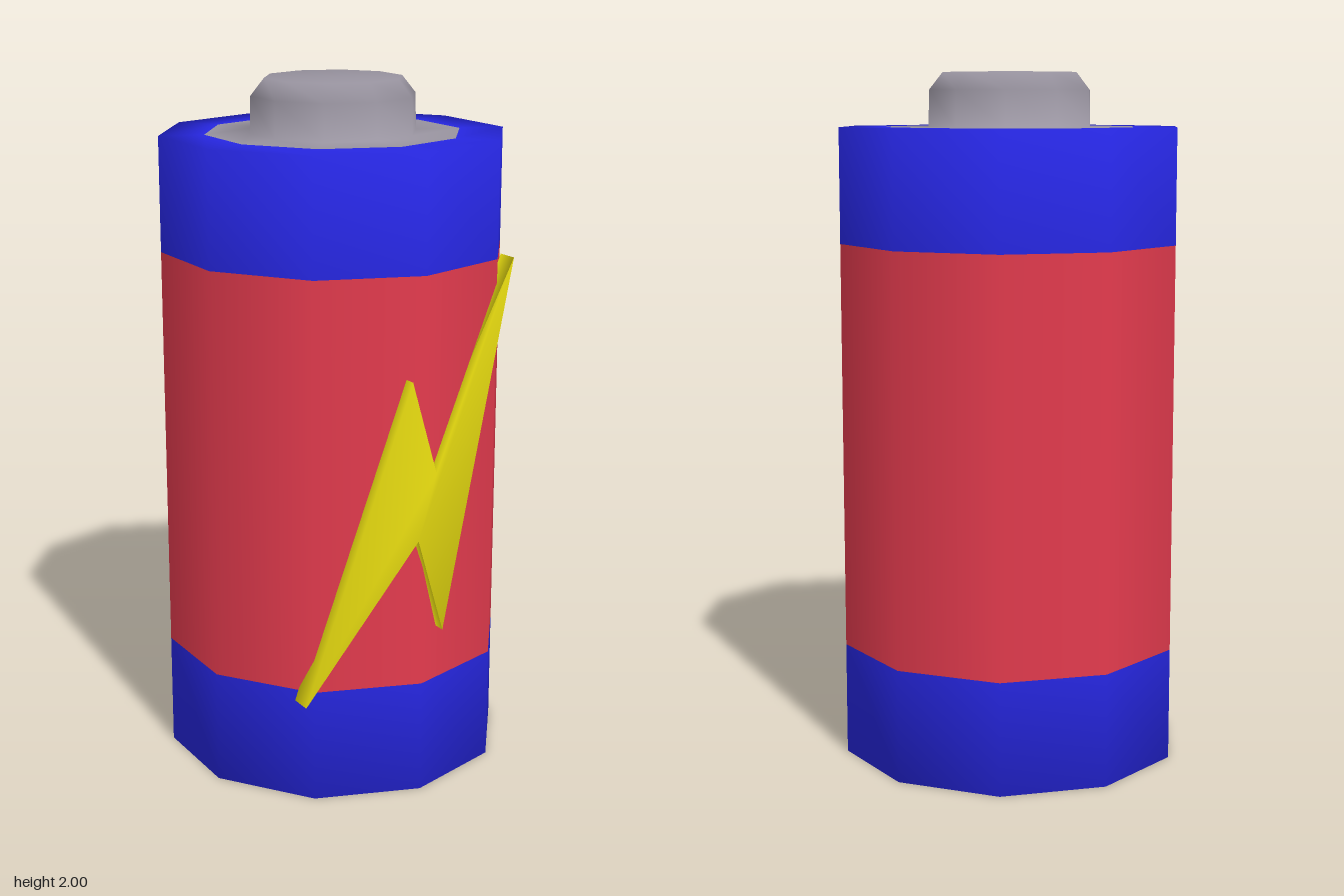
import * as THREE from 'three';
import { mergeVertices } from 'three/addons/utils/BufferGeometryUtils.js';

const SIDES = 10;
const R = 0.5025; // casing radius
const RIM = 0.372; // inner radius of the end rims
const H = 1.845; // casing height
const LOW = 0.33, HIGH = 1.515; // limits of the red band

const mat = (name, color) => Object.assign(new THREE.MeshStandardMaterial({ color }), { name });

export function createModel() {
  const group = new THREE.Group();
  group.name = 'battery';
  const blue = mat('blue', 0x2727e4);
  const red = mat('red', 0xe43b4e);
  const grey = mat('grey', 0x98939f);
  const yellow = mat('yellow', 0xe8dc10);

  // ten-sided turned part, profile listed from the bottom up
  const turned = (name, material, profile) => {
    const pts = profile.map(([r, y]) => new THREE.Vector2(r, y));
    const mesh = new THREE.Mesh(new THREE.LatheGeometry(pts, SIDES), material);
    mesh.name = name;
    mesh.position.z = -0.01;
    group.add(mesh);
  };

  // casing
  turned('bottomBand', blue, [[RIM, 0], [R, 0], [R, LOW]]);
  turned('middleBand', red, [[R, LOW], [R, HIGH]]);
  turned('topBand', blue, [[R, HIGH], [R, H], [RIM, H]]);

  // terminals: raised button on top, shallow recess below
  turned('positiveTerminal', grey, [[RIM, H], [0.242, H], [0.24, 1.95], [0.2, 2], [0, 2]]);
  turned('negativeTerminal', grey, [[0, 0.03], [0.335, 0.03], [0.345, 0], [RIM, 0]]);

  // lightning bolt, its two tips bent back around the casing
  const outline = [[0.335, 1.52], [0.03, 0.96], [-0.05, 1.23], [-0.335, 0.3], [-0.026, 0.77], [0.058, 0.49]];
  const shape = new THREE.Shape(outline.map(([x, y]) => new THREE.Vector2(x, y)));
  let geo = new THREE.ExtrudeGeometry(shape, { depth: 0.065, bevelEnabled: false });
  const pos = geo.attributes.position;
  for (let i = 0; i < pos.count; i++) {
    const front = Math.min(0.51, 0.528 - 0.322 * Math.abs(pos.getX(i)));
    pos.setZ(i, front - 0.065 + pos.getZ(i));
  }
  // share corners so the shading is smooth
  geo.deleteAttribute('normal');
  geo.deleteAttribute('uv');
  geo.clearGroups();
  geo = mergeVertices(geo);
  geo.computeVertexNormals();
  const bolt = new THREE.Mesh(geo, yellow);
  bolt.name = 'lightningBolt';
  group.add(bolt);

  return group;
}
